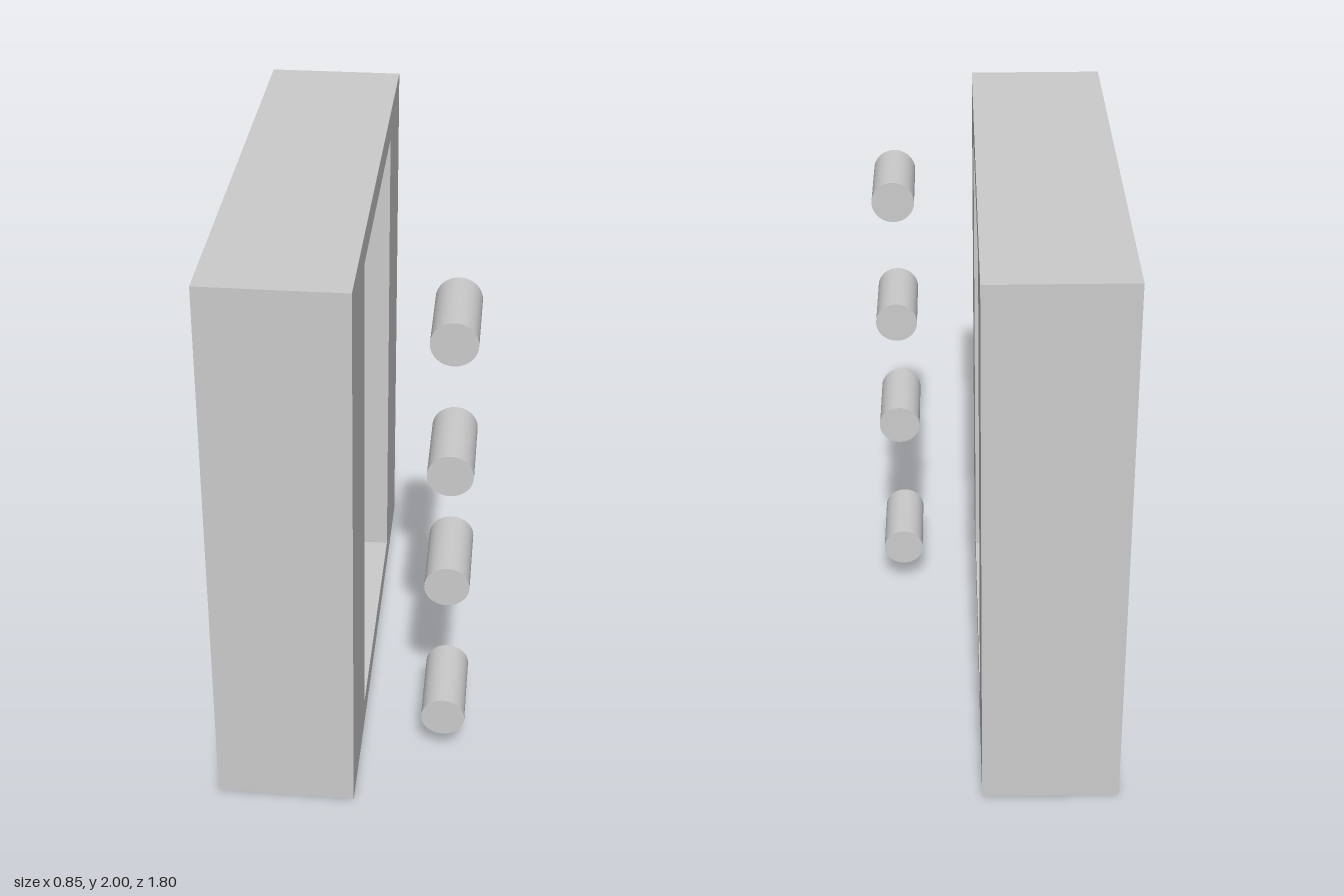
import * as THREE from 'three';

const grey = new THREE.MeshStandardMaterial({ color: 0xcccccc });
const R = 0.077;

function add(group, name, geometry) {
  const mesh = new THREE.Mesh(geometry, grey);
  mesh.name = name;
  group.add(mesh);
  return mesh;
}

// Panel layer: rectangle in the z-y plane with an optional hole, extruded from x0 to x1
function layer(x0, x1, hole) {
  const shape = new THREE.Shape([[-0.9, 0], [0.9, 0], [0.9, 2], [-0.9, 2]].map(p => new THREE.Vector2(...p)));
  if (hole) shape.holes.push(new THREE.Path(hole.map(p => new THREE.Vector2(...p))));
  const g = new THREE.ExtrudeGeometry(shape, { depth: x1 - x0, bevelEnabled: false });
  return g.rotateY(Math.PI / 2).translate(x0, 0, 0);
}

// Pipe with straight ends, a slanted middle and soft bends
function pipe(group, name, x, y0, y1) {
  const v = (z, y) => new THREE.Vector3(x, y, z);
  const a = v(0.3, y0), b = v(-0.38, y1);
  const dir = b.clone().sub(a).normalize().multiplyScalar(0.06);
  const a1 = v(0.35, y0), a2 = a.clone().add(dir), b1 = b.clone().sub(dir), b2 = v(-0.43, y1);
  const path = new THREE.CurvePath();
  path.add(new THREE.LineCurve3(v(0.66, y0), a1));
  path.add(new THREE.QuadraticBezierCurve3(a1, a, a2));
  path.add(new THREE.LineCurve3(a2, b1));
  path.add(new THREE.QuadraticBezierCurve3(b1, b, b2));
  path.add(new THREE.LineCurve3(b2, v(-0.66, y1)));
  const pipeGroup = new THREE.Group();
  pipeGroup.name = name;
  add(pipeGroup, 'pipeBody', new THREE.TubeGeometry(path, 72, R, 24, false));
  add(pipeGroup, 'pipeCap', new THREE.CircleGeometry(R, 24).translate(x, y0, 0.66));
  add(pipeGroup, 'pipeCap', new THREE.CircleGeometry(R, 24).rotateY(Math.PI).translate(x, y1, -0.66));
  group.add(pipeGroup);
}

export function createModel() {
  const model = new THREE.Group();

  // Housing: back plate, slotted middle and front lip
  const housing = new THREE.Group();
  housing.name = 'housing';
  model.add(housing);
  const slots = [[0.12, 0.42], [0.66, 0.89], [1.11, 1.35], [1.56, 1.8]];
  const side = [[0.5, 0.1]];
  for (const [lo, hi] of slots) side.push([0.5, lo], [0.7, lo], [0.7, hi], [0.5, hi]);
  side.push([0.5, 1.9]);
  const slotted = [...side, ...side.map(([u, y]) => [-u, y]).reverse()];
  add(housing, 'backPlate', layer(-0.43, -0.39));
  add(housing, 'slottedFrame', layer(-0.39, -0.044, slotted));
  add(housing, 'frontLip', layer(-0.044, 0.05, [[-0.5, 0.1], [0.5, 0.1], [0.5, 1.9], [-0.5, 1.9]]));

  // Three parallel pipes and one crossing behind them
  pipe(model, 'upperPipe', -0.14, 1.22, 1.69);
  pipe(model, 'middlePipe', -0.14, 0.77, 1.22);
  pipe(model, 'lowerPipe', -0.14, 0.19, 0.77);
  pipe(model, 'crossingPipe', -0.31, 1.71, 0.24);

  // Loose pegs beside the opening
  for (const y of [0.19, 0.77, 1.22, 1.71]) {
    add(model, 'peg', new THREE.CylinderGeometry(R, R, 0.31, 32).rotateX(Math.PI / 2).translate(0.345, y, 0.505));
  }
  return model;
}
